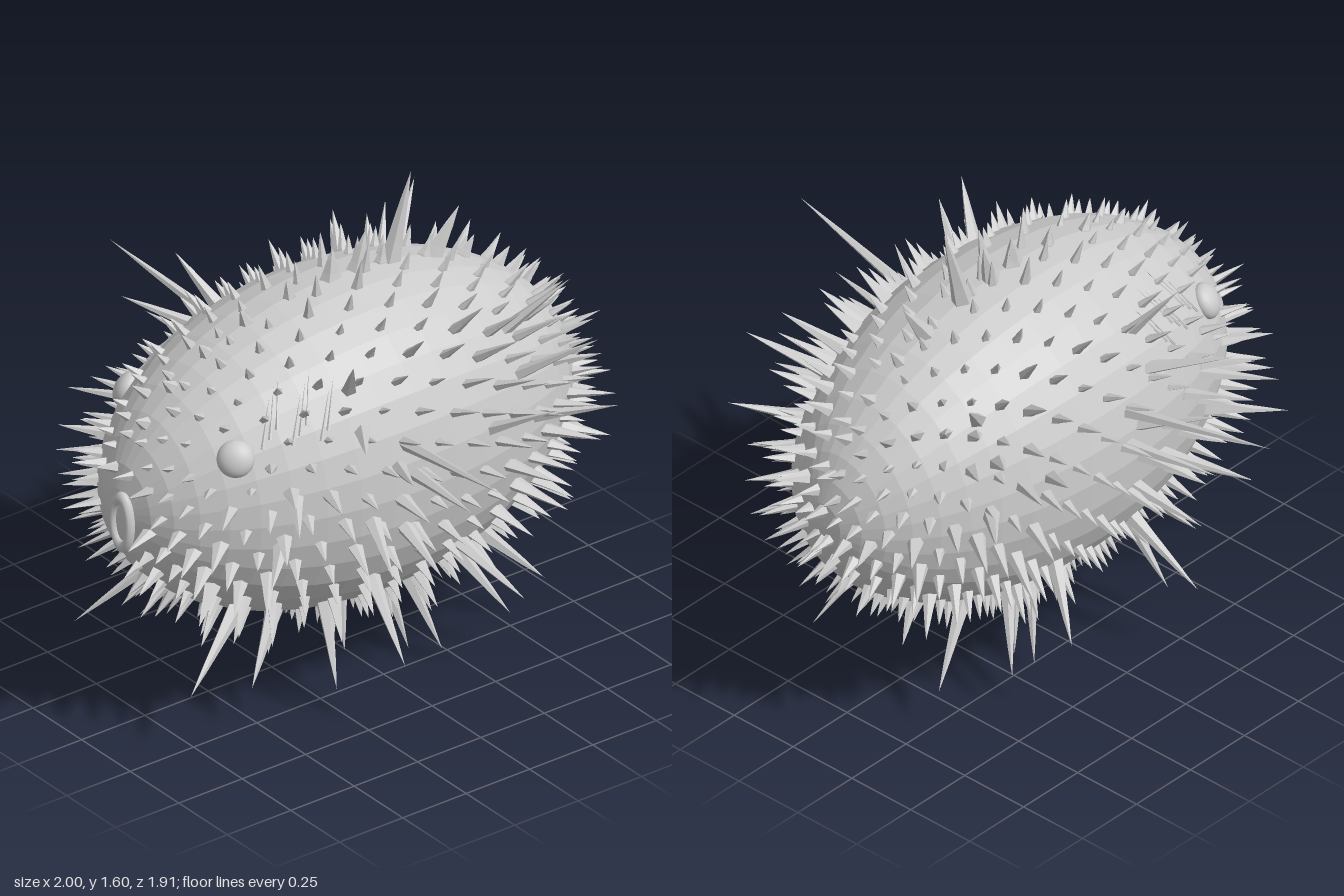
import * as THREE from 'three';
import { mergeGeometries } from 'three/addons/utils/BufferGeometryUtils.js';

const R = new THREE.Vector3(0.48, 0.55, 0.865); // body half sizes
const C = new THREE.Vector3(0, 0.778, 0);       // body centre
const V = (x, y, z) => new THREE.Vector3(x, y, z);
const mat = (flat, side = THREE.FrontSide) =>
  new THREE.MeshStandardMaterial({ color: 0xcccccc, flatShading: flat, side });

function seeded(seed) {
  return () => (seed = (seed * 16807) % 2147483647) / 2147483647;
}

// Flared five-sided spine of unit length and unit base radius, along +y
const unitSpine = new THREE.LatheGeometry(
  [[1.05, -0.12], [1, 0], [0.68, 0.3], [0.36, 0.68], [0, 1]].map(([r, y]) => new THREE.Vector2(r, y)), 5);

// Spine from base to tip, widest along z for flank spines
function spine(base, tip, radius, flatten = 1) {
  const dir = tip.clone().sub(base);
  const len = dir.length();
  const up = dir.divideScalar(len);
  const wide = V(0, 0, 1).addScaledVector(up, -up.z).normalize();
  const thin = up.clone().cross(wide).negate();
  const m = new THREE.Matrix4().makeBasis(wide, up, thin.negate().cross(up).cross(up).negate());
  m.makeBasis(wide, up, wide.clone().cross(up));
  m.scale(V(radius, len, radius * flatten)).setPosition(base);
  return unitSpine.clone().applyMatrix4(m);
}

const mirrored = (p) => V(-p.x, p.y, p.z);

// Ellipsoid normal eased toward the radial direction
function outward(u) {
  const normal = u.clone().divide(R).normalize();
  const radial = u.clone().multiply(R).normalize();
  return normal.lerp(radial, 0.4).normalize();
}

// Spine length: short on the face, crown, belly and mid flank
function spineLength(u) {
  const girth = Math.sqrt(Math.max(0, 1 - u.z * u.z));
  const side = Math.abs(u.x);
  let len = 0.095 + 0.06 * side * girth;
  if (u.y > 0.2 && u.z > 0.1) len *= 0.6;               // brow and forehead
  if (u.y > 0.6 && u.z < 0.1) len *= 0.8;
  if (u.y < -0.3 && Math.abs(u.z) < 0.6) len *= 0.85;
  if (side > 0.7 && Math.abs(u.z + 0.12) < 0.22) len *= 0.75;
  return len;
}

export function createModel() {
  const model = new THREE.Group();
  const add = (name, geometry, material) => {
    const mesh = new THREE.Mesh(geometry, material);
    mesh.name = name;
    model.add(mesh);
    return mesh;
  };

  // Inflated body, rings running along z
  const body = new THREE.SphereGeometry(1, 32, 22);
  body.rotateX(Math.PI / 2).scale(R.x, R.y, R.z).translate(C.x, C.y, C.z);
  add('body', body, mat(true));

  // Domed eyes and the raised oval mouth
  const eyePos = V(0.28, 1.005, 0.607);
  for (const s of [1, -1]) {
    const eye = add(s > 0 ? 'leftEye' : 'rightEye', new THREE.SphereGeometry(0.06, 20, 14), mat(false));
    eye.scale.z = 0.65;
    eye.position.set(s * eyePos.x, eyePos.y, eyePos.z);
    eye.lookAt(s * (eyePos.x + 1), eyePos.y + 0.6, eyePos.z + 0.7);
  }
  const mouth = add('mouth', new THREE.TorusGeometry(0.041, 0.011, 8, 28), mat(false));
  mouth.scale.set(1, 2.1, 1.6);
  mouth.position.set(0.035, 0.755, 0.866);
  const lips = add('innerMouth', new THREE.SphereGeometry(0.04, 20, 12), mat(false));
  lips.scale.set(1, 2.1, 0.3);
  lips.position.set(0.035, 0.755, 0.86);

  // Short spines scattered over one half, denser at the ends, and mirrored
  const rand = seeded(4711);
  const spines = [];
  const count = 520;
  for (let i = 0; i < count; i++) {
    const w = 1 - (2 * (i + 0.5)) / count;
    const z = w * (1.14 - 0.14 * w * w);
    const a = i * Math.PI * (3 - Math.sqrt(5));
    const r = Math.sqrt(1 - z * z);
    const u = V(r * Math.cos(a), r * Math.sin(a), z);
    const vary = 0.6 + 0.8 * rand() ** 1.5;
    if (u.x < 0.04) continue;
    const base = u.clone().multiply(R).add(C);
    if (base.distanceTo(eyePos) < 0.09) continue;
    if (z > 0.9 && base.x < 0.1 && Math.abs(base.y - 0.755) < 0.12) continue;
    const len = spineLength(u) * vary;
    const tip = base.clone().addScaledVector(outward(u), len);
    const radius = 0.012 + 0.1 * len;
    spines.push(spine(base, tip, radius, 0.65), spine(mirrored(base), mirrored(tip), radius, 0.65));
  }

  // Row down the back and belly midline
  for (let k = 0; k < 30; k++) {
    const t = (k + 0.5) / 30 * Math.PI * 2;
    const u = V(0, Math.sin(t), Math.cos(t));
    if (u.z > 0.94) continue;
    const base = u.clone().multiply(R).add(C);
    const len = spineLength(u) * (0.65 + 0.4 * rand());
    spines.push(spine(base, base.clone().addScaledVector(outward(u), len), 0.024, 0.8));
  }
  add('shortSpines', mergeGeometries(spines), mat(true, THREE.DoubleSide));

  // Long spines as [base, tip], mirrored on both flanks
  const long = [
    [V(0.41, 0.94, 0.06), V(1.0, 1.04, 0.12)],
    [V(0.46, 0.84, 0.04), V(0.81, 0.865, 0.08)],
    [V(0.45, 0.72, 0.2), V(0.73, 0.68, 0.33)],
    [V(0.45, 0.88, 0.1), V(0.69, 0.96, 0.22)],
    [V(0.46, 0.66, 0.08), V(0.71, 0.6, 0.12)],
    [V(0.38, 0.7, 0.5), V(0.56, 0.68, 0.68)],
    [V(0.38, 0.86, 0.45), V(0.6, 0.86, 0.6)],
    [V(0.4, 1.02, 0.2), V(0.63, 1.09, 0.36)],
    [V(0.33, 1.13, 0.2), V(0.46, 1.3, 0.28)],
    [V(0.43, 0.87, -0.28), V(0.62, 0.98, -0.4)],
    [V(0.36, 0.98, -0.45), V(0.55, 1.13, -0.62)],
    [V(0.38, 0.82, -0.5), V(0.57, 0.88, -0.68)],
    [V(0.28, 1.1, -0.45), V(0.4, 1.28, -0.62)],
    [V(0.38, 0.47, 0.15), V(0.62, 0.27, 0.2)],
    [V(0.38, 0.47, -0.2), V(0.56, 0.3, -0.32)],
    [V(0.27, 0.36, 0.25), V(0.4, 0.12, 0.3)],
    [V(0.2, 0.4, 0.55), V(0.3, 0.22, 0.8)],
    [V(0.2, 0.34, 0.4), V(0.29, 0.16, 0.55)],
    [V(0.12, 0.27, -0.1), V(0.17, 0, -0.16)],
    [V(0.2, 0.31, -0.12), V(0.29, 0.04, -0.2)],
    [V(0.19, 0.35, -0.42), V(0.27, 0.14, -0.62)],
    [V(0.25, 0.36, -0.28), V(0.38, 0.14, -0.4)],
    [V(0.1, 0.26, 0.06), V(0.14, 0.06, 0.07)],
  ];
  const longSpines = long.flatMap(([b, t]) =>
    [spine(b, t, 0.03, 0.75), spine(mirrored(b), mirrored(t), 0.03, 0.75)]);
  add('longSpines', mergeGeometries(longSpines), mat(true, THREE.DoubleSide));

  // Tall spines along the ridge of the back
  const ridge = [
    [V(0, 1.28, -0.21), V(0, 1.6, -0.3)],
    [V(0, 1.24, -0.37), V(0, 1.41, -0.49)],
    [V(0, 1.3, -0.08), V(0, 1.45, -0.12)],
    [V(0, 1.31, 0.02), V(0, 1.43, 0.01)],
  ].map(([b, t]) => spine(b, t, 0.042, 0.8));
  add('ridgeSpines', mergeGeometries(ridge), mat(true, THREE.DoubleSide));

  // Fine spines lying almost flat behind each eye
  const fine = [];
  const flankX = (y, z) => R.x * Math.sqrt(1 - ((y - C.y) / R.y) ** 2 - (z / R.z) ** 2);
  for (let k = 0; k < 8; k++) {
    const z = 0.52 - k * 0.03;
    const y = 1.04 + 0.025 * (k % 3);
    const b = V(flankX(y, z), y, z);
    const t = V(flankX(y + 0.12, z - 0.07) + 0.01, y + 0.12, z - 0.07);
    fine.push(spine(b, t, 0.006), spine(mirrored(b), mirrored(t), 0.006));
  }
  add('fineSpines', mergeGeometries(fine), mat(true, THREE.DoubleSide));

  return model;
}
